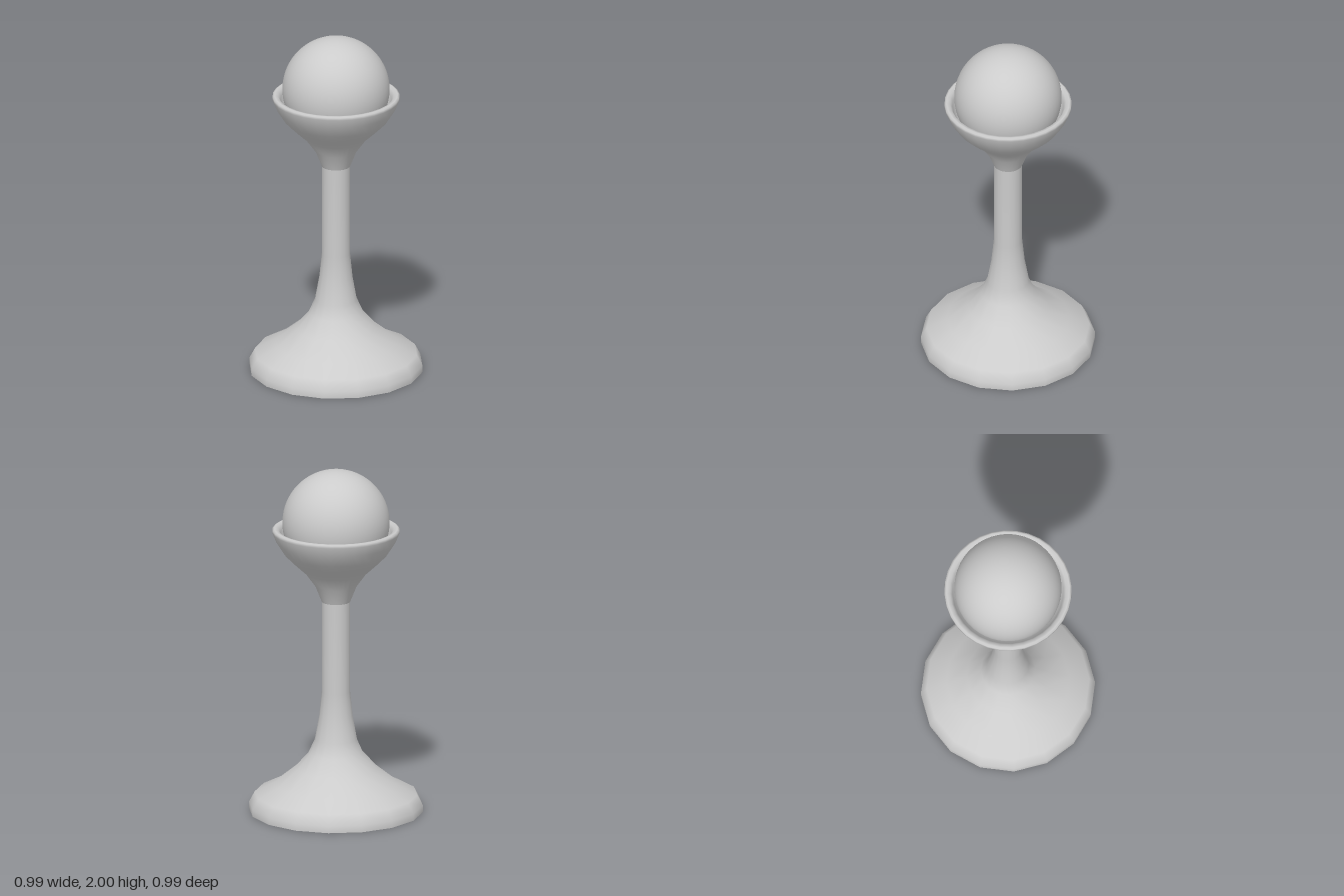
import * as THREE from 'three';

const material = new THREE.MeshStandardMaterial({ color: 0xcccccc });

// Smooth turned part from [radius, height] pairs
function turned(name, profile, sides) {
  const points = profile.map(([r, y]) => new THREE.Vector2(r, y));
  const mesh = new THREE.Mesh(new THREE.LatheGeometry(points, sides), material);
  mesh.name = name;
  return mesh;
}

export function createModel() {
  const group = new THREE.Group();
  group.name = 'pedestalWithBall';

  // Flared foot running up into the slim stem
  group.add(turned('footAndStem', [
    [0.495, 0], [0.495, 0.04], [0.463, 0.1], [0.35, 0.157], [0.235, 0.25],
    [0.155, 0.34], [0.12, 0.42], [0.095, 0.56], [0.081, 0.7], [0.081, 1.23],
  ], 16));

  // Flat underside, kept apart for a sharp edge
  const underside = new THREE.Mesh(new THREE.CircleGeometry(0.495, 16), material);
  underside.name = 'underside';
  underside.rotation.x = Math.PI / 2;
  group.add(underside);

  // Cup: outer wall, rounded rim, then the hollow inside
  group.add(turned('cup', [
    [0.081, 1.23], [0.117, 1.32], [0.175, 1.4], [0.24, 1.46], [0.295, 1.515],
    [0.34, 1.585], [0.362, 1.64], [0.361, 1.655], [0.35, 1.661], [0.33, 1.657],
    [0.315, 1.635], [0.295, 1.56], [0.23, 1.46], [0.12, 1.39], [0, 1.37],
  ], 32));

  // Ball resting in the cup
  const ball = new THREE.Mesh(new THREE.SphereGeometry(0.305, 48, 32), material);
  ball.name = 'ball';
  ball.position.y = 1.695;
  group.add(ball);

  return group;
}
